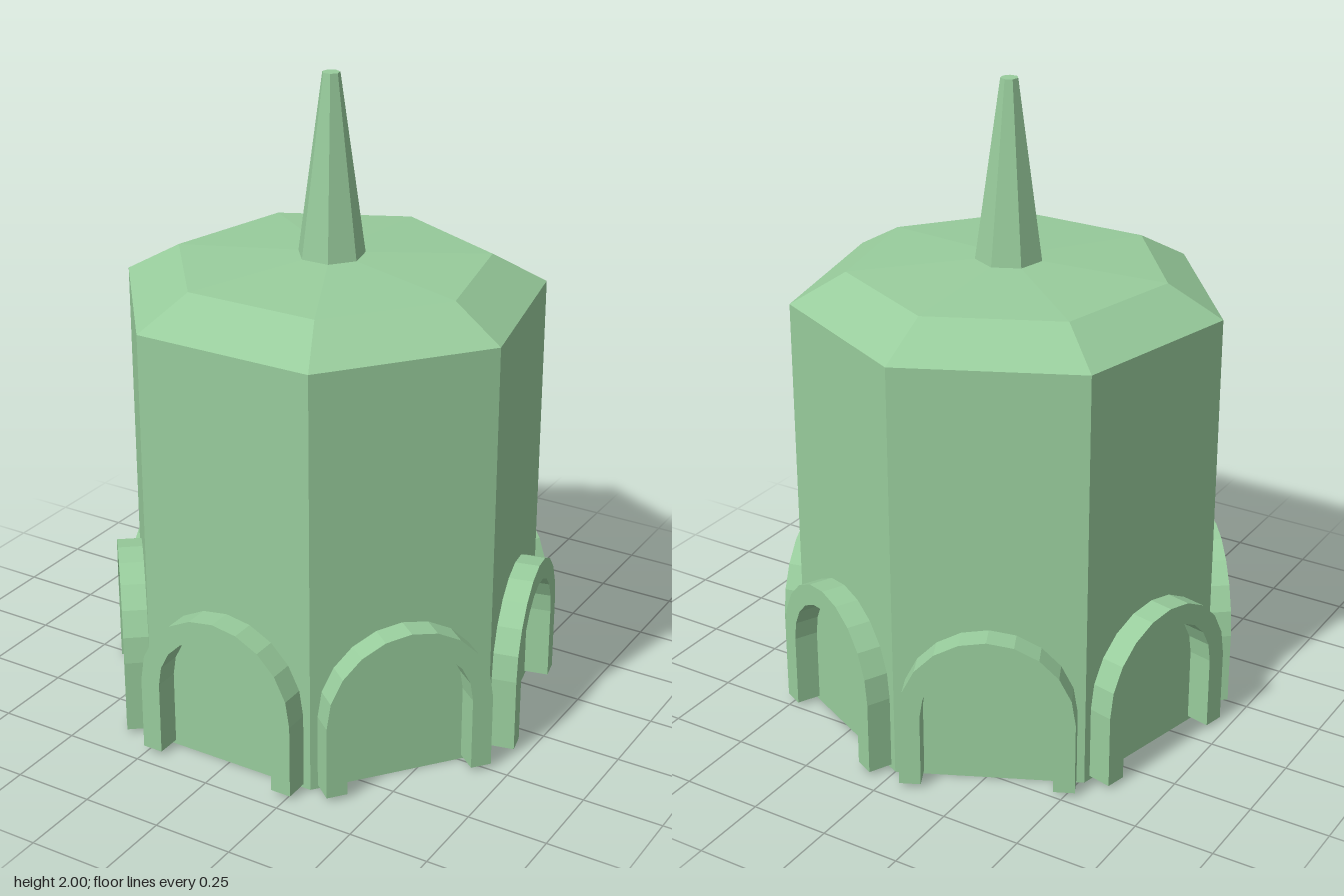
import * as THREE from 'three';

const SIDES = 7;
const CENTRE_Z = 0.025;

export function createModel() {
  const model = new THREE.Group();
  model.name = 'tower';
  const material = new THREE.MeshStandardMaterial({ color: 0x98cc9c, flatShading: true });

  // Seven-sided solid turned from [radius, height] points, one corner at the back
  function addTurned(name, profile) {
    const points = profile.map(([r, y]) => new THREE.Vector2(r, y));
    const mesh = new THREE.Mesh(new THREE.LatheGeometry(points, SIDES, Math.PI), material);
    mesh.name = name;
    mesh.position.z = CENTRE_Z;
    model.add(mesh);
  }

  // Walls with the floor underneath
  addTurned('walls', [[0, 0], [0.66, 0], [0.66, 1.33]]);
  // Roof: steep bevel, then a shallow cap
  addTurned('roof', [[0.66, 1.33], [0.49, 1.425], [0, 1.455]]);
  // Tapered spire with a blunt tip
  addTurned('spire', [[0, 1.445], [0.104, 1.445], [0.027, 2], [0, 2]]);

  // Round-headed arch frame, open at the bottom
  const outer = 0.263, inner = 0.198, foot = 0.013, spring = 0.247;
  const shape = new THREE.Shape();
  shape.moveTo(outer, foot);
  shape.lineTo(outer, spring);
  shape.absarc(0, spring, outer, 0, Math.PI, false);
  shape.lineTo(-outer, foot);
  shape.lineTo(-inner, foot);
  shape.lineTo(-inner, spring);
  shape.absarc(0, spring, inner, Math.PI, 0, true);
  shape.lineTo(inner, foot);
  shape.closePath();
  const archGeometry = new THREE.ExtrudeGeometry(shape, {
    depth: 0.08, bevelEnabled: false, curveSegments: 5,
  });
  archGeometry.translate(0, 0, 0.591);

  // One arch on each wall
  for (let i = 0; i < SIDES; i++) {
    const arch = new THREE.Mesh(archGeometry, material);
    arch.name = `arch${i + 1}`;
    arch.rotation.y = (i * 2 * Math.PI) / SIDES;
    arch.position.z = CENTRE_Z;
    model.add(arch);
  }
  return model;
}
